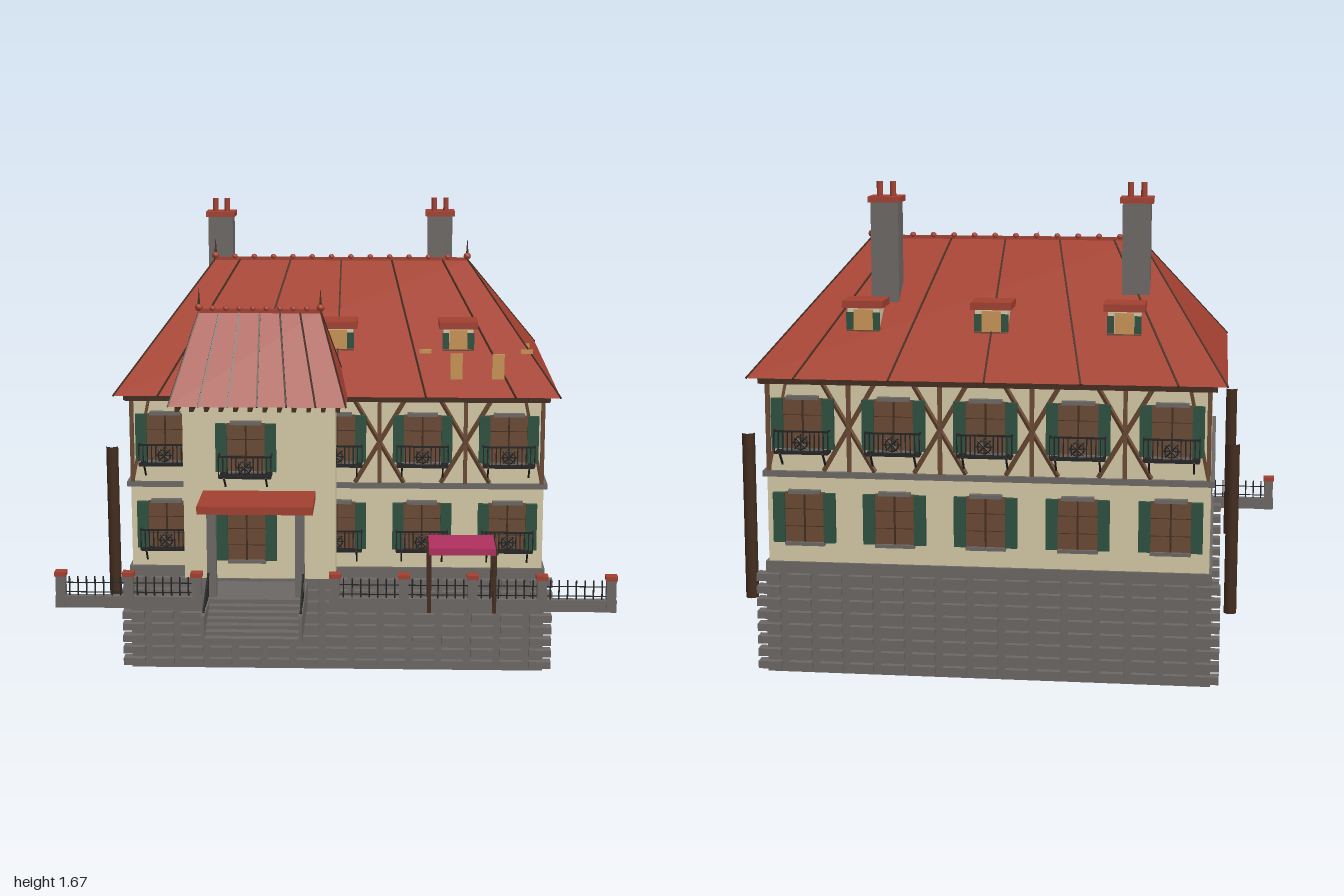
import * as THREE from 'three';

const M = (name, color) => new THREE.MeshStandardMaterial({ name, color });

export function createModel() {
  const cream = M('cream plaster', 0xd6caa8), red = M('red tile', 0xa34030), gray = M('gray stone', 0x6c6865),
    green = M('green shutter', 0x2d5140), brown = M('brown wood', 0x6b4a34), dark = M('dark wood', 0x432c1e),
    iron = M('black iron', 0x232323), orange = M('orange wood', 0xcb9556), pink = M('magenta cloth', 0xb03060);
  const house = new THREE.Group();
  house.name = 'house';

  const add = (parent, name, geo, mat, x = 0, y = 0, z = 0) => {
    const m = new THREE.Mesh(geo, mat);
    m.name = name;
    m.position.set(x, y, z);
    parent.add(m);
    return m;
  };
  // box given by its limits on each axis
  const box = (parent, name, mat, x0, x1, y0, y1, z0, z1) =>
    add(parent, name, new THREE.BoxGeometry(x1 - x0, y1 - y0, z1 - z0), mat, (x0 + x1) / 2, (y0 + y1) / 2, (z0 + z1) / 2);
  // square bar between two points
  const bar = (parent, name, mat, a, b, w, t = w) => {
    const A = new THREE.Vector3(...a), B = new THREE.Vector3(...b);
    const m = add(parent, name, new THREE.BoxGeometry(w, t, A.distanceTo(B)), mat);
    m.position.copy(A).add(B).multiplyScalar(0.5);
    m.quaternion.setFromUnitVectors(new THREE.Vector3(0, 0, 1), B.sub(A).normalize());
    return m;
  };
  const group = (parent, name, x = 0, y = 0, z = 0) => {
    const g = new THREE.Group();
    g.name = name;
    g.position.set(x, y, z);
    parent.add(g);
    return g;
  };

  // stone base with rows of projecting blocks
  box(house, 'base', gray, -0.76, 0.76, 0, 0.392, -0.84, 0.32);
  const blocks = group(house, 'baseBlocks');
  for (let r = 0; r < 8; r++)
    for (let c = -7; c <= 7; c++)
      for (const z of [0.322, -0.84]) {
        const x = c * 0.107, y = 0.028 + r * 0.0445;
        box(blocks, 'baseBlock', gray, x - 0.04, x + 0.04, y - 0.013, y + 0.013, z - 0.022, z + 0.022);
      }

  // walls and bands
  box(house, 'mainWalls', cream, -0.75, 0.75, 0.39, 1.03, -0.83, 0.31);
  box(house, 'frontWing', cream, -0.54, 0, 0.392, 1.03, 0.2, 0.47);
  for (const [z0, z1] of [[0.31, 0.32], [-0.845, -0.83]]) box(house, 'floorBand', gray, -0.76, 0.76, 0.69, 0.71, z0, z1);
  for (const s of [-1, 1]) box(house, 'sideBand', gray, s * 0.755 - 0.008, s * 0.755 + 0.008, 0.69, 0.71, -0.845, 0.32);
  box(house, 'eaveBeam', dark, -0.765, 0.765, 1.01, 1.03, -0.85, 0.325);

  // hipped roof with ridge tiles, seams and finials
  const roof = (name, x0, x1, z0, z1, y0, y1, rx0, rx1, seams, tiles) => {
    const g = group(house, name), zm = (z0 + z1) / 2, xm = (x0 + x1) / 2, rm = (rx0 + rx1) / 2;
    const a = [x0, y0, z1], b = [x1, y0, z1], c = [x1, y0, z0], d = [x0, y0, z0], e = [rx0, y1, zm], f = [rx1, y1, zm];
    const geo = new THREE.BufferGeometry();
    const tris = [a, b, f, a, f, e, c, d, e, c, e, f, b, c, f, d, a, e, a, d, c, a, c, b];
    geo.setAttribute('position', new THREE.Float32BufferAttribute(tris.flat(), 3));
    geo.computeVertexNormals();
    add(g, 'roofSlopes', geo, red);
    for (const t of seams)
      for (const z of [z0, z1])
        bar(g, 'roofSeam', dark, [xm + t * (x1 - x0) / 2, y0, z], [rm + t * (rx1 - rx0) / 2, y1, zm], 0.006);
    [[a, e], [d, e], [b, f], [c, f]].forEach(([p, q]) => bar(g, 'hipSeam', dark, p, q, 0.005));
    bar(g, 'ridge', red, e, f, 0.014);
    for (let i = 0; i <= tiles; i++)
      add(g, 'ridgeTile', new THREE.SphereGeometry(0.011, 8, 6), red, rx0 + (rx1 - rx0) * i / tiles, y1 + 0.008, zm);
    for (const x of [rx0, rx1]) {
      add(g, 'finialBall', new THREE.SphereGeometry(0.014, 8, 6), red, x, y1 + 0.012, zm);
      add(g, 'finial', new THREE.ConeGeometry(0.007, 0.08, 6), dark, x, y1 + 0.045, zm);
    }
    return g;
  };
  roof('mainRoof', -0.8, 0.8, -0.89, 0.36, 1.035, 1.455, -0.485, 0.485, [-0.8, -0.4, 0, 0.4, 0.8], 13);
  roof('wingRoof', -0.58, 0.04, 0.18, 0.556, 1.035, 1.345, -0.485, -0.055, [-0.66, -0.33, 0, 0.33, 0.66], 9);
  for (let i = 0; i < 12; i++) {
    const x = -0.55 + i * 0.051;
    box(house, 'wingRafter', dark, x - 0.007, x + 0.007, 1.016, 1.034, 0.46, 0.545);
  }
  for (let i = 0; i < 24; i++) {
    const x = -0.76 + i * 0.066;
    box(house, 'backRafter', dark, x - 0.007, x + 0.007, 1.016, 1.034, -0.875, -0.83);
    if (x < -0.54 || x > 0.04) box(house, 'frontRafter', dark, x - 0.007, x + 0.007, 1.016, 1.034, 0.3, 0.345);
  }

  // dormers on both slopes
  for (const s of [1, -1])
    for (const x of [-0.45, 0, 0.44]) {
      const d = group(house, 'dormer', x, 0, -0.265);
      if (s < 0) d.rotation.y = Math.PI;
      box(d, 'dormerWalls', cream, -0.055, 0.055, 1.13, 1.25, 0.28, 0.415);
      box(d, 'dormerCap', red, -0.07, 0.07, 1.25, 1.275, 0.293, 0.43);
      box(d, 'dormerWindow', orange, -0.033, 0.033, 1.172, 1.245, 0.415, 0.42);
      box(d, 'dormerSill', brown, -0.058, 0.058, 1.166, 1.174, 0.415, 0.424);
      for (const k of [-1, 1]) box(d, 'dormerShutter', green, k * 0.046 - 0.012, k * 0.046 + 0.012, 1.176, 1.235, 0.415, 0.423);
    }

  // loose wooden boards on the front slope
  for (const x of [0.43, 0.58]) box(house, 'roofBoard', orange, x - 0.022, x + 0.022, 1.088, 1.18, 0.277, 0.286);
  for (const x of [0.32, 0.69]) box(house, 'roofBoard', orange, x - 0.022, x + 0.022, 1.163, 1.178, 0.166, 0.175);
  box(house, 'roofBoard', orange, 0.69, 0.71, 1.16, 1.175, 0.015, 0.024);

  // chimneys
  for (const [x, z] of [[-0.48, -0.47], [0.385, -0.515]]) {
    const c = group(house, 'chimney', x, 0, z);
    box(c, 'chimneyStack', gray, -0.048, 0.048, 1.15, 1.6, -0.046, 0.046);
    box(c, 'chimneyCap', red, -0.057, 0.057, 1.6, 1.62, -0.054, 0.054);
    for (const k of [-0.023, 0.023])
      add(c, 'chimneyPot', new THREE.CylinderGeometry(0.011, 0.011, 0.05, 10), red, k, 1.645, 0);
  }

  // window with shutters, origin at the wall surface and the sill
  const win = (parent, x, y, z) => {
    const g = group(parent, 'window', x, y, z);
    box(g, 'windowPanel', brown, -0.068, 0.068, 0, 0.172, 0, 0.012);
    box(g, 'windowMullion', dark, -0.003, 0.003, 0, 0.172, 0.012, 0.016);
    for (const h of [0.055, 0.115]) box(g, 'windowBar', dark, -0.068, 0.068, h - 0.001, h + 0.001, 0.012, 0.014);
    box(g, 'lintel', gray, -0.055, 0.055, 0.168, 0.181, 0, 0.022);
    box(g, 'sill', gray, -0.068, 0.068, -0.012, 0, 0, 0.022);
    for (const k of [-1, 1]) box(g, 'shutter', green, k * 0.087 - 0.02, k * 0.087 + 0.02, 0, 0.172, 0.008, 0.025);
  };
  // iron balcony
  const balcony = (parent, x, y, z, d) => {
    const g = group(parent, 'balcony', x, y, z), w = 0.092;
    box(g, 'balconyFloor', iron, -w, w, -0.004, 0.004, 0, d);
    bar(g, 'handrail', iron, [-w, 0.075, d], [w, 0.075, d], 0.006);
    for (let i = 0; i < 13; i++) {
      const bx = -w + w * i / 6;
      if (Math.abs(i - 6) > 1) bar(g, 'baluster', iron, [bx, 0, d], [bx, 0.075, d], 0.004);
    }
    add(g, 'rosette', new THREE.TorusGeometry(0.022, 0.003, 5, 14), iron, 0, 0.037, d);
    for (let i = 0; i < 4; i++) {
      const c = Math.cos(i * Math.PI / 4) * 0.03, s = Math.sin(i * Math.PI / 4) * 0.03;
      bar(g, 'rosetteSpoke', iron, [-c, 0.037 - s, d], [c, 0.037 + s, d], 0.004);
    }
    for (const k of [-w, w]) {
      bar(g, 'sideRail', iron, [k, 0.075, 0], [k, 0.075, d], 0.005);
      bar(g, 'bracket', iron, [k * 0.8, -0.045, 0.01], [k * 0.8, 0, d], 0.006);
    }
  };
  // crossed timbers on the upper floor
  const timbers = (parent, x, z) => {
    for (const k of [-1, 1]) bar(parent, 'brace', brown, [x - k * 0.088, 0.712, z], [x + k * 0.088, 1.012, z], 0.012);
    box(parent, 'post', brown, x - 0.007, x + 0.007, 0.71, 1.01, z - 0.005, z + 0.007);
  };

  const front = group(house, 'frontFacade', 0, 0, 0.31);
  const back = group(house, 'backFacade', 0, 0, -0.83);
  back.rotation.y = Math.PI;
  for (const x of [-0.62, -0.31, 0, 0.31, 0.62])
    for (const f of [front, back]) {
      if (f === front && x === -0.31) continue;
      win(f, x, 0.79, 0);
      win(f, x, 0.465, 0);
      balcony(f, x, 0.78, 0, 0.05);
      if (f === front) balcony(f, x, 0.462, 0, 0.045);
    }
  for (const x of [-0.465, -0.155, 0.155, 0.465])
    for (const f of [front, back]) if (f === back || x > 0) timbers(f, x, 0.004);
  for (const f of [front, back])
    for (const s of [-1, 1]) {
      box(f, 'cornerPost', brown, s * 0.742 - 0.007, s * 0.742 + 0.007, 0.71, 1.01, 0, 0.012);
      bar(f, 'cornerBrace', brown, [s * 0.74, 0.72, 0.004], [s * 0.68, 1.01, 0.004], 0.01);
    }
  win(house, -0.315, 0.79, 0.47);
  win(house, -0.315, 0.465, 0.47);
  balcony(house, -0.315, 0.78, 0.47, 0.075);

  // entrance canopy, landing and steps
  const porch = group(house, 'porch');
  box(porch, 'canopy', red, -0.47, -0.07, 0.688, 0.716, 0.46, 0.7);
  box(porch, 'landing', gray, -0.44, -0.1, 0.295, 0.385, 0.485, 0.7);
  for (let i = 0; i < 6; i++) box(porch, 'step', gray, -0.43, -0.11, 0.295, 0.37 - i * 0.013, 0.7, 0.73 + i * 0.031);
  for (const x of [-0.435, -0.105]) {
    const u = x < -0.2 ? x + 0.012 : x - 0.012;
    box(porch, 'porchPost', gray, u - 0.016, u + 0.016, 0.385, 0.69, 0.64, 0.672);
    box(porch, 'stepWall', gray, x - 0.006, x + 0.006, 0.295, 0.383, 0.7, 0.885);
    bar(porch, 'stepRail', iron, [x, 0.385, 0.85], [x, 0.468, 0.67], 0.007);
    for (let i = 0; i < 5; i++) bar(porch, 'stepBaluster', iron, [x, 0.38, 0.82 - i * 0.035], [x, 0.4 + i * 0.0155, 0.82 - i * 0.035], 0.004);
  }

  // garden wall with pillars and iron fence
  const fence = group(house, 'gardenFence', 0, 0, 0.515);
  for (const xs of [[-0.98, -0.737, -0.493], [0, 0.245, 0.49, 0.735, 0.98]]) {
    const last = xs[xs.length - 1];
    box(fence, 'lowWall', gray, xs[0] - 0.02, last + 0.02, 0.295, 0.338, -0.013, 0.013);
    xs.forEach((x, i) => {
      box(fence, 'pillar', gray, x - 0.017, x + 0.017, 0.295, 0.412, -0.017, 0.017);
      box(fence, 'pillarCap', red, x - 0.021, x + 0.021, 0.412, 0.427, -0.021, 0.021);
      if (i === xs.length - 1) return;
      for (const h of [0.35, 0.385]) bar(fence, 'fenceRail', iron, [x, h, 0], [xs[i + 1], h, 0], 0.003);
      for (let k = 1; k < 8; k++) bar(fence, 'fenceBar', iron, [x + k * 0.0305, 0.335, 0], [x + k * 0.0305, 0.408, 0], 0.005);
    });
  }

  // garden awning
  const awning = group(house, 'awning', 0.45, 0, 0.472);
  box(awning, 'awningCloth', pink, -0.117, 0.117, 0.51, 0.535, -0.09, 0.09);
  for (let i = 0; i < 7; i++) box(awning, 'awningRod', dark, -0.126, 0.126, 0.508, 0.516, -0.083 + i * 0.026, -0.075 + i * 0.026);
  for (const x of [-0.115, 0.115])
    for (const z of [-0.072, 0.076]) box(awning, 'awningPost', dark, x - 0.007, x + 0.007, 0.295, 0.512, z - 0.007, z + 0.007);

  // tall open pipes beside the corners
  for (const [x, z] of [[0.822, -0.793], [-0.822, -0.793], [-0.822, 0.27]])
    add(house, 'cornerPole', new THREE.CylinderGeometry(0.022, 0.022, 0.58, 10, 1, true), dark, x, 0.54, z);

  return house;
}
